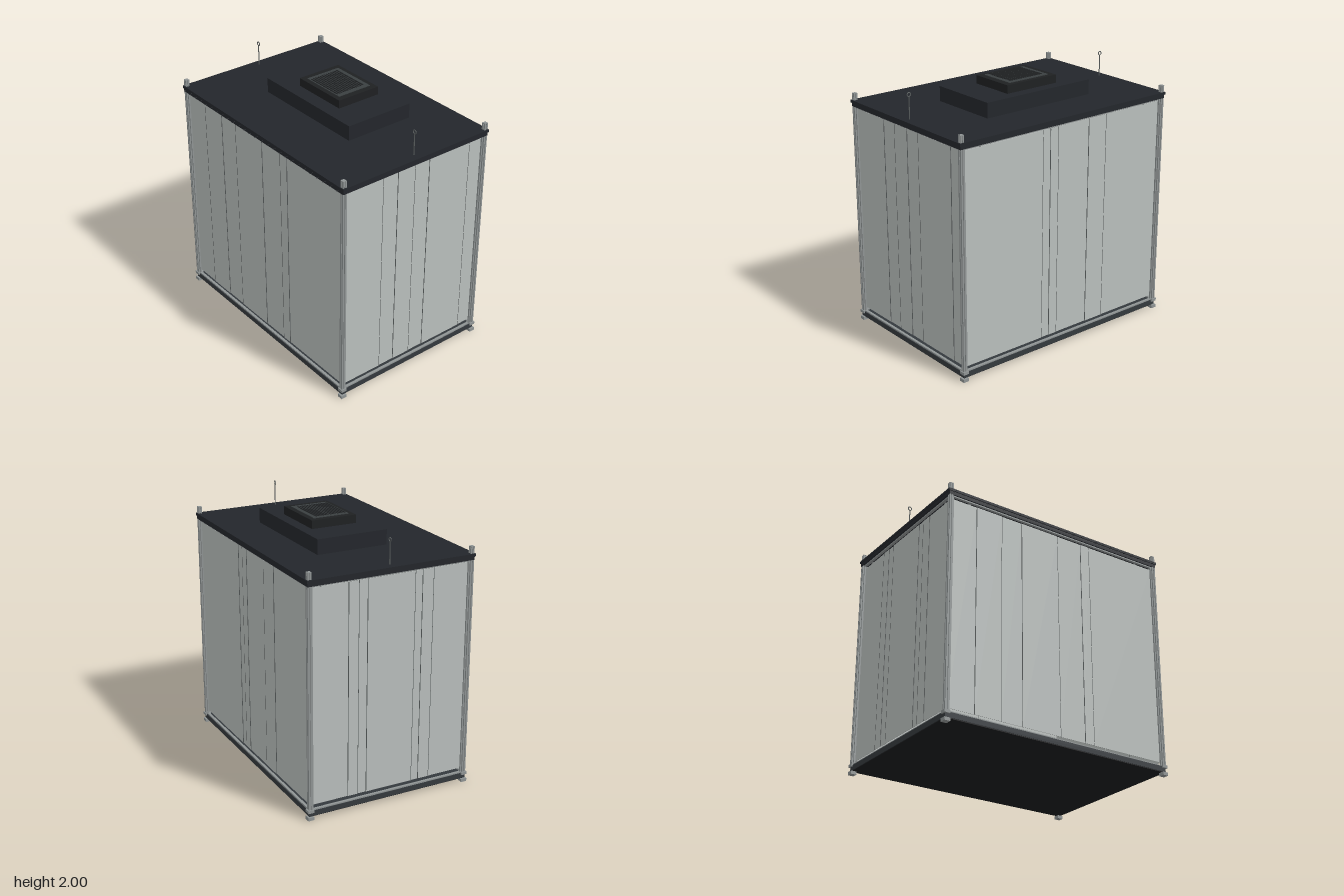
import * as THREE from 'three';

const mat = (color) => new THREE.MeshStandardMaterial({ color });

export function createModel() {
  const root = new THREE.Group();
  root.name = 'cleanRoomBooth';
  const body = new THREE.Group();
  body.name = 'booth';
  body.position.z = -0.015;
  root.add(body);

  const M = {
    roof: mat(0x23262b), base: mat(0x34393d), under: mat(0x1b1c1d), metal: mat(0x8f9494),
    curtain: mat(0xb9bebc), seam: mat(0x5a5f5f), unit: mat(0x1e2022), grille: mat(0x3a3f40),
  };

  const add = (name, geo, m, x, y, z, parent = body) => {
    const mesh = new THREE.Mesh(geo, m);
    mesh.name = name;
    mesh.position.set(x, y, z);
    parent.add(mesh);
    return mesh;
  };
  // Box given by its limits on each axis
  const box = (name, m, x0, x1, y0, y1, z0, z1, parent) =>
    add(name, new THREE.BoxGeometry(x1 - x0, y1 - y0, z1 - z0), m,
      (x0 + x1) / 2, (y0 + y1) / 2, (z0 + z1) / 2, parent);

  // Base: floor slab and dark underside
  box('floorSlab', M.base, -0.965, 0.965, 0.03, 0.07, -0.66, 0.66);
  box('underside', M.under, -0.96, 0.96, 0.025, 0.03, -0.655, 0.655);

  // Roof: cover over a slightly inset frame
  box('roofCover', M.roof, -0.977, 0.977, 0.0 + 1.782, 1.802, -0.67, 0.67);
  box('roofFrame', M.roof, -0.971, 0.971, 1.755, 1.782, -0.664, 0.664);

  // Light rails above the floor and below the roof
  for (const [name, y0, y1] of [['lowerRail', 0.07, 0.08], ['curtainRail', 1.745, 1.755]]) {
    for (const s of [-1, 1]) {
      add(name, new THREE.BoxGeometry(1.9, y1 - y0, 0.02), M.metal, 0, (y0 + y1) / 2, s * 0.645);
      add(name, new THREE.BoxGeometry(0.02, y1 - y0, 1.28), M.metal, s * 0.95, (y0 + y1) / 2, 0);
    }
  }

  // Slotted square section for the corner posts
  const h = 0.015, n = 0.003, d = 0.008;
  const section = new THREE.Shape();
  for (let i = 0; i < 4; i++) {
    const c = Math.round(Math.cos(i * Math.PI / 2)), s = Math.round(Math.sin(i * Math.PI / 2));
    [[-h, -h], [-n, -h], [-n, -d], [n, -d], [n, -h]].forEach(([x, y], k) => {
      const px = x * c - y * s, py = x * s + y * c;
      if (i === 0 && k === 0) section.moveTo(px, py);
      else section.lineTo(px, py);
    });
  }
  section.closePath();
  const postGeo = new THREE.ExtrudeGeometry(section, { depth: 1.785, bevelEnabled: false });
  postGeo.rotateX(-Math.PI / 2);

  // Corners: post, cap, foot, bracket and curtain guides
  for (const sx of [-1, 1]) for (const sz of [-1, 1]) {
    const x = sx * 0.953, z = sz * 0.648;
    add('cornerPost', postGeo, M.metal, x, 0.07, z);
    add('postCap', new THREE.BoxGeometry(0.028, 0.004, 0.028), M.metal, x, 1.854, z);
    add('foot', new THREE.BoxGeometry(0.046, 0.025, 0.046), M.metal, x, 0.0125, z);
    add('cornerBracket', new THREE.BoxGeometry(0.046, 0.022, 0.046), M.metal, x, 0.069, z);
    add('curtainGuide', new THREE.BoxGeometry(0.01, 1.665, 0.012), M.metal, sx * 0.932, 0.9125, sz * 0.648);
    add('curtainGuide', new THREE.BoxGeometry(0.012, 1.665, 0.01), M.metal, sx * 0.953, 0.9125, sz * 0.627);
  }

  // Curtain walls: strips on alternating depths with thin seams between them
  const curtain = (name, edges, half, alongX, side) => {
    const wall = new THREE.Group();
    wall.name = name;
    body.add(wall);
    const all = [-half, ...edges, half];
    for (let i = 0; i < all.length - 1; i++) {
      const out = side * ((alongX ? 0.637 : 0.938) + (i % 2) * 0.003);
      const w = all[i + 1] - all[i], c = (all[i] + all[i + 1]) / 2;
      const strip = (label, width, at, depth, thick, m) => add(label,
        new THREE.BoxGeometry(alongX ? width : thick, 1.63, alongX ? thick : width), m,
        alongX ? at : depth, 0.92, alongX ? depth : at, wall);
      strip('curtainStrip', w, c, out, 0.004, M.curtain);
      if (i > 0) strip('curtainSeam', 0.004, all[i], side * (alongX ? 0.64 : 0.941), 0.005, M.seam);
    }
    // Hangers under the curtain rail
    for (const s of [-1, 1]) {
      const a = s * (alongX ? 0.78 : 0.54), o = side * (alongX ? 0.63 : 0.93);
      add('railHanger', new THREE.BoxGeometry(0.016, 0.02, 0.016), M.seam,
        alongX ? a : o, 1.742, alongX ? o : a, wall);
    }
  };
  curtain('frontCurtain', [-0.72, -0.5, -0.32, 0.01, 0.23, 0.31], 0.94, true, 1);
  curtain('backCurtain', [-0.39, -0.22, 0.075, 0.15, 0.22], 0.94, true, -1);
  curtain('leftCurtain', [-0.515, -0.135, 0, 0.155, 0.29], 0.635, false, 1);
  curtain('rightCurtain', [-0.335, -0.255, -0.185, 0.195, 0.255, 0.345], 0.635, false, -1);

  // Row of fine pins on the front roof edge
  const pinGeo = new THREE.CylinderGeometry(0.0015, 0.0015, 0.03, 6);
  pinGeo.rotateX(Math.PI / 2);
  for (let i = 0; i < 27; i++) add('roofPin', pinGeo, M.roof, -0.93 + i * 0.0715, 1.778, 0.677);

  // Fan filter unit: plenum, fan housing and grille
  const fan = new THREE.Group();
  fan.name = 'fanFilterUnit';
  root.add(fan);
  box('plenum', M.roof, -0.488, 0.484, 1.8, 1.917, -0.356, 0.207, fan);
  box('fanHousing', M.unit, -0.235, 0.231, 1.915, 1.98, -0.27, 0.093, fan);
  box('grillePlate', M.grille, -0.19, 0.184, 1.978, 1.984, -0.233, 0.057, fan);
  for (let i = 0; i < 13; i++) {
    const z = -0.195 + i * 0.0198;
    box('grilleSlat', M.unit, -0.158, 0.15, 1.982, 1.987, z - 0.0055, z + 0.0055, fan);
  }

  // Lifting eyes on thin rods
  for (const s of [-1, 1]) {
    add('liftingRod', new THREE.CylinderGeometry(0.004, 0.004, 0.17, 10), M.seam, s * 0.917, 1.885, -0.018, root);
    add('liftingEye', new THREE.TorusGeometry(0.0145, 0.0035, 8, 24), M.seam, s * 0.917, 1.982, -0.018, root);
  }
  return root;
}
